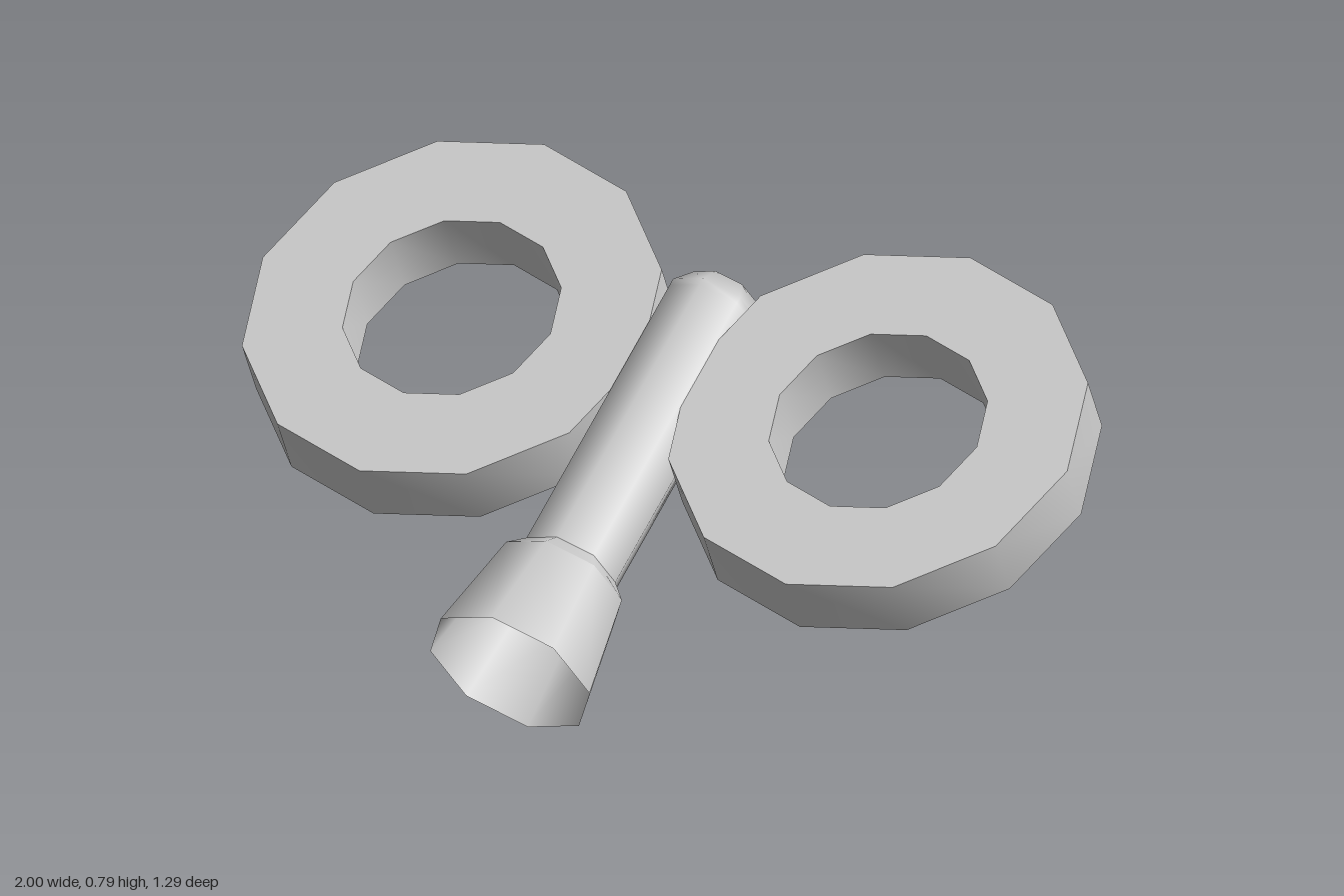
import * as THREE from 'three';
import { toCreasedNormals } from 'three/addons/utils/BufferGeometryUtils.js';

const TILT = THREE.MathUtils.degToRad(24.9);
const gray = new THREE.MeshStandardMaterial({ color: 0xcccccc, side: THREE.DoubleSide });
gray.name = 'plain gray';

const lathe = (points, sides) =>
  new THREE.LatheGeometry(points.map(([r, y]) => new THREE.Vector2(r, y)), sides);

function addMesh(parent, name, geometry) {
  const mesh = new THREE.Mesh(geometry, gray);
  mesh.name = name;
  parent.add(mesh);
  return mesh;
}

export function createModel() {
  const model = new THREE.Group();
  model.name = 'twinRingHorn';

  // Tilted frame: rings lie flat in it, the barrel runs along its -z
  const frame = new THREE.Group();
  frame.name = 'tiltedFrame';
  frame.rotation.x = TILT;
  frame.position.set(0, 0.366, 0.171);
  model.add(frame);

  // Eight-sided hollow barrel; separate meshes keep the kinks sharp
  const barrel = new THREE.Group();
  barrel.name = 'barrel';
  barrel.rotation.x = -Math.PI / 2;
  frame.add(barrel);
  addMesh(barrel, 'flaredMouth', lathe([[0.198, -0.432], [0.154, -0.177]], 8));
  addMesh(barrel, 'collar', lathe([[0.154, -0.177], [0.118, -0.137]], 8));
  addMesh(barrel, 'stem', lathe(
    [[0.118, -0.137], [0.118, 0.59], [0.118, 0.608], [0.085, 0.655], [0, 0.674]], 8));

  // Twelve-sided flat rings on both sides of the stem
  const outer = 0.47, inner = 0.245, half = 0.077;
  const ringGeometry = toCreasedNormals(lathe(
    [[inner, -half], [outer, -half], [outer, half], [inner, half], [inner, -half]], 12), 1);
  for (const [name, side] of [['leftRing', 1], ['rightRing', -1]]) {
    addMesh(frame, name, ringGeometry).position.set(side * 0.53, 0, -0.393);
  }
  return model;
}
